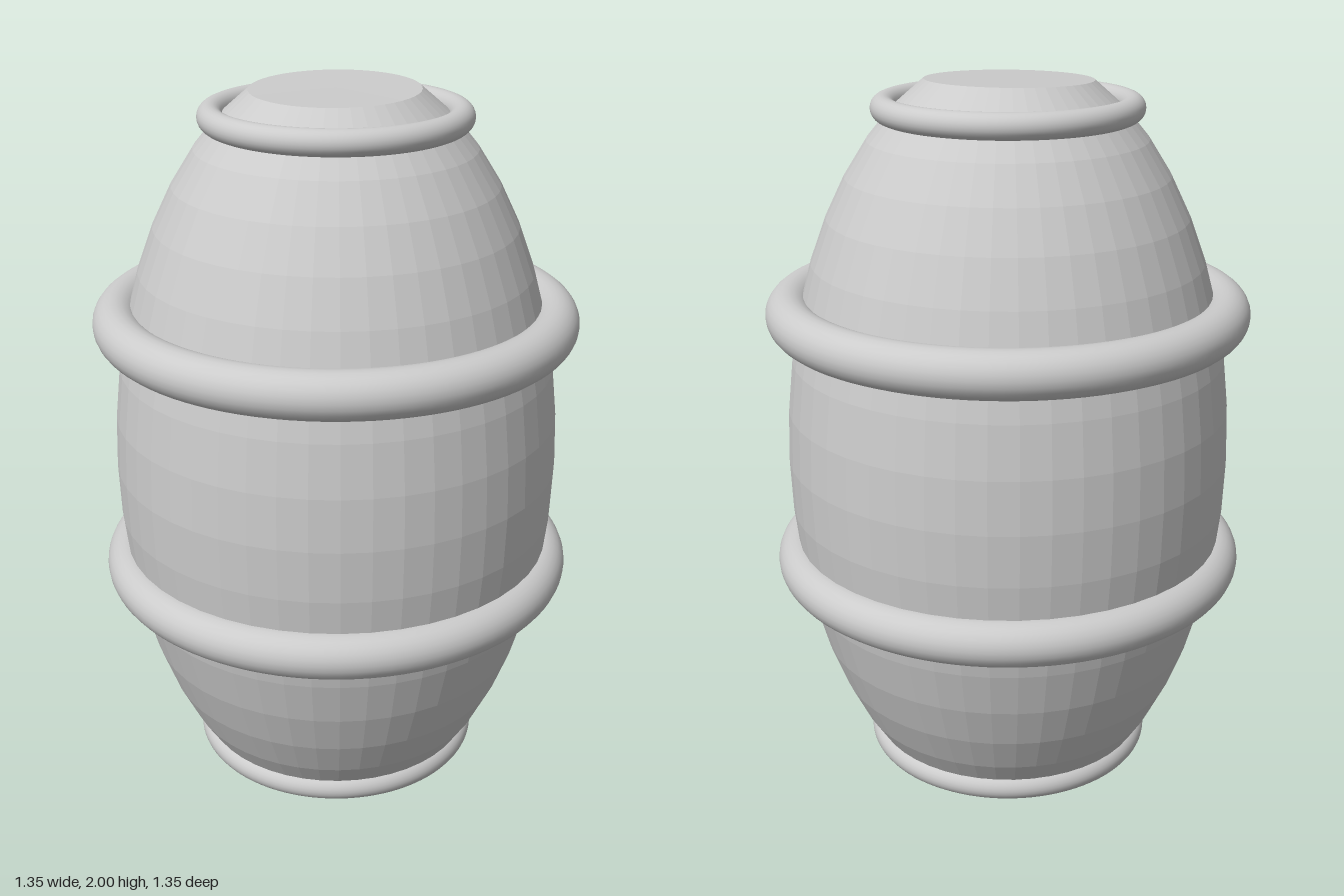
import * as THREE from 'three';

const CENTRE = 0.94, HALF = 1.13, BELLY = 0.63, BOTTOM = 0.01;

// Radius of the barrel's elliptical bulge at height y
const radiusAt = (y) => BELLY * Math.sqrt(Math.max(0, 1 - ((y - CENTRE) / HALF) ** 2));
// The lid is cut off on a very slight slant
const lidHeight = (x, z) => 1.992 + 0.015 * x - 0.025 * z;

function bodyGeometry() {
  const rows = 24, lidY = 1.992;
  const points = [new THREE.Vector2(0, BOTTOM), new THREE.Vector2(radiusAt(BOTTOM), BOTTOM)];
  for (let i = 1; i < rows; i++) {
    const y = CENTRE - HALF * Math.cos((i / rows) * Math.PI);
    if (y > BOTTOM + 0.02 && y < lidY - 0.01) points.push(new THREE.Vector2(radiusAt(y), y));
  }
  points.push(new THREE.Vector2(radiusAt(lidY), lidY), new THREE.Vector2(0, lidY));
  const geometry = new THREE.LatheGeometry(points, 48);

  // Tilt the lid while keeping its rim on the bulge
  const p = geometry.attributes.position;
  for (let i = 0; i < p.count; i++) {
    if (p.getY(i) < lidY - 0.001) continue;
    const x = p.getX(i), z = p.getZ(i), r = Math.hypot(x, z);
    const y = lidHeight(x, z);
    const s = r > 0.01 ? radiusAt(y) / r : 1;
    p.setXYZ(i, x * s, y, z * s);
  }
  geometry.computeVertexNormals();
  return geometry;
}

export function createModel() {
  const model = new THREE.Group();
  model.name = 'barrel';
  const smooth = new THREE.MeshStandardMaterial({ color: 0xcccccc });
  const faceted = new THREE.MeshStandardMaterial({ color: 0xcccccc, flatShading: true });

  const body = new THREE.Mesh(bodyGeometry(), faceted);
  body.name = 'body';
  model.add(body);

  // Hoops: name, height, ring radius, tube radius
  const hoops = [
    ['bottomHoop', 0.04, 0.38, 0.038],
    ['lowerHoop', 0.63, 0.61, 0.065],
    ['upperHoop', 1.365, 0.61, 0.065],
    ['topHoop', 1.92, 0.335, 0.035],
  ];
  for (const [name, y, radius, tube] of hoops) {
    const hoop = new THREE.Mesh(new THREE.TorusGeometry(radius, tube, 24, 96), smooth);
    hoop.name = name;
    hoop.rotation.x = Math.PI / 2;
    hoop.position.y = y;
    model.add(hoop);
  }
  return model;
}
